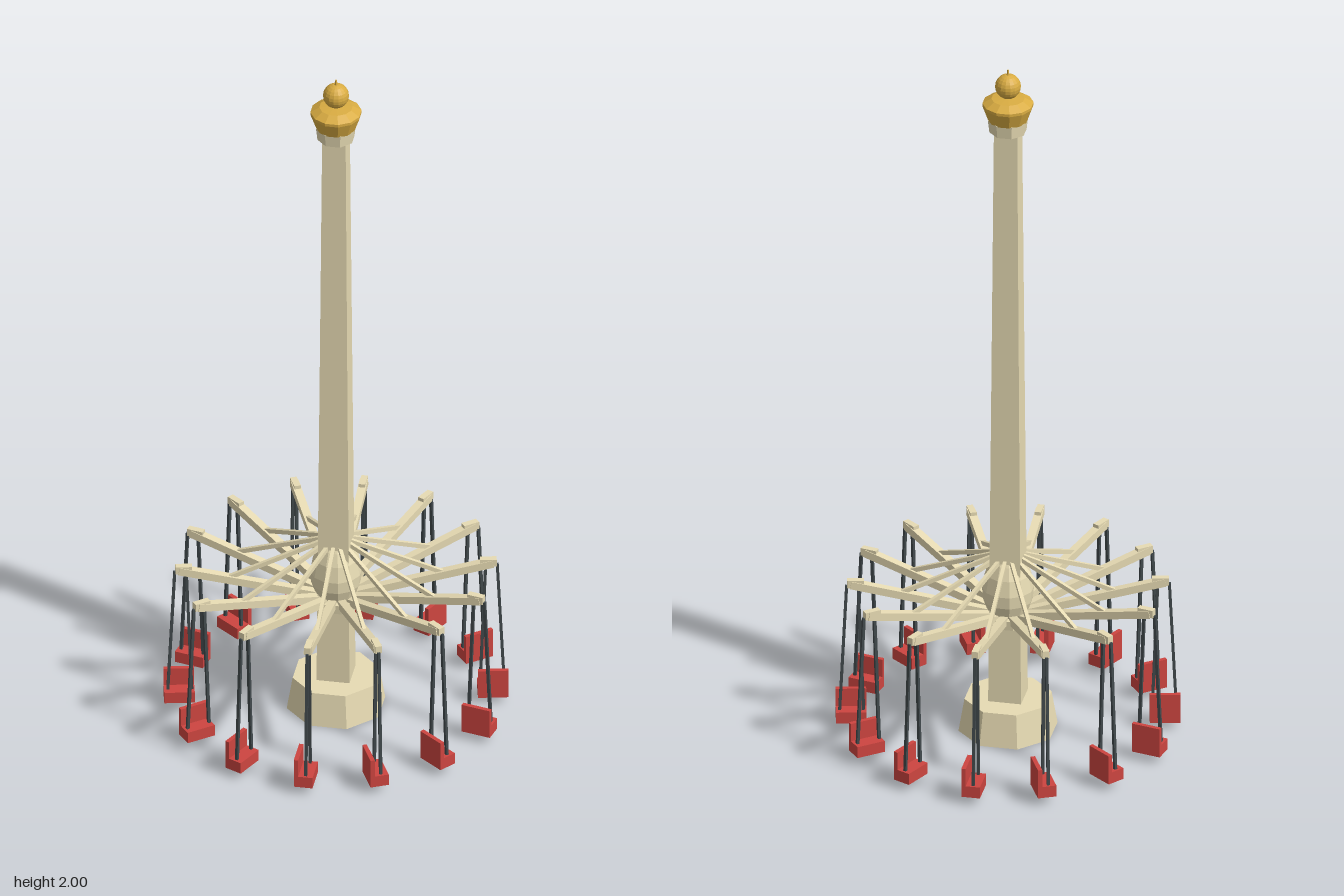
import * as THREE from 'three';

const ARMS = 14;

export function createModel() {
  const mat = (name, color) => {
    const m = new THREE.MeshStandardMaterial({ color, flatShading: true });
    m.name = name;
    return m;
  };
  const cream = mat('cream', 0xe8dcb4);
  const gold = mat('gold', 0xd9ac42);
  const red = mat('red', 0xcd4540);
  const dark = mat('dark steel', 0x41494c);

  const model = new THREE.Group();
  model.name = 'swingTower';

  const add = (parent, name, geometry, material, x = 0, y = 0, z = 0) => {
    const mesh = new THREE.Mesh(geometry, material);
    mesh.name = name;
    mesh.position.set(x, y, z);
    parent.add(mesh);
    return mesh;
  };

  // Tapered prism with flat sides on the axes; sizes are half widths
  const prism = (name, sides, bottom, top, y0, y1) => {
    const k = 1 / Math.cos(Math.PI / sides);
    const g = new THREE.CylinderGeometry(top * k, bottom * k, y1 - y0, sides);
    g.rotateY(Math.PI / sides);
    return add(model, name, g, cream, 0, (y0 + y1) / 2, 0);
  };

  // Revolved solid from [radius, height] points
  const turned = (name, points, sides, material) => {
    const g = new THREE.LatheGeometry(points.map(p => new THREE.Vector2(...p)), sides);
    g.rotateY(Math.PI / sides);
    return add(model, name, g, material);
  };

  // Bar lying in the radial plane, between [radius, height] ends
  const bar = (parent, name, a, b, width, depth, material) => {
    const dz = b[0] - a[0], dy = b[1] - a[1];
    const mesh = add(parent, name, new THREE.BoxGeometry(width, depth, Math.hypot(dz, dy)),
      material, 0, (a[1] + b[1]) / 2, (a[0] + b[0]) / 2);
    mesh.rotation.x = -Math.atan2(dy, dz);
    return mesh;
  };

  // Octagonal base and square tower
  prism('base', 8, 0.125, 0.11, 0.005, 0.1);
  prism('tower', 4, 0.045, 0.032, 0.1, 1.83);

  // Rotating hub
  prism('hubRing', 8, 0.068, 0.07, 0.333, 0.36);
  turned('hubBulb', [[0, 0.355], [0.055, 0.36], [0.067, 0.395], [0.07, 0.43],
    [0.062, 0.475], [0.048, 0.51], [0.036, 0.53], [0, 0.53]], 12, cream);

  // Crown, ball and spike
  prism('collar', 8, 0.047, 0.051, 1.815, 1.852);
  turned('crown', [[0, 1.85], [0.054, 1.85], [0.069, 1.892], [0.069, 1.9],
    [0.045, 1.914], [0, 1.918]], 12, gold);
  add(model, 'ball', new THREE.SphereGeometry(0.035, 16, 12), gold, 0, 1.95, 0);
  add(model, 'spike', new THREE.CylinderGeometry(0.002, 0.005, 0.025, 6), gold, 0, 1.9875, 0);

  // Arms, each carrying a hanging double seat
  for (let i = 0; i < ARMS; i++) {
    const arm = new THREE.Group();
    arm.name = 'swingArm' + (i + 1);
    arm.rotation.y = (i / ARMS) * Math.PI * 2;
    model.add(arm);

    bar(arm, 'arm', [0.04, 0.352], [0.422, 0.442], 0.022, 0.022, cream);
    bar(arm, 'brace', [0.03, 0.526], [0.285, 0.416], 0.01, 0.012, cream);
    add(arm, 'chainBracket', new THREE.BoxGeometry(0.018, 0.022, 0.045), cream, 0, 0.444, 0.409);

    // Chains spread slightly from the arm end down to the seat
    bar(arm, 'outerChain', [0.433, 0.437], [0.452, 0.055], 0.008, 0.008, dark);
    bar(arm, 'innerChain', [0.402, 0.437], [0.387, 0.055], 0.008, 0.008, dark);

    const seat = new THREE.Group();
    seat.name = 'seat';
    seat.position.z = 0.421;
    arm.add(seat);
    add(seat, 'seatBase', new THREE.BoxGeometry(0.042, 0.033, 0.082), red, -0.001, 0.0445, 0);
    add(seat, 'seatBack', new THREE.BoxGeometry(0.012, 0.085, 0.082), red, -0.025, 0.0705, 0);
  }
  return model;
}
